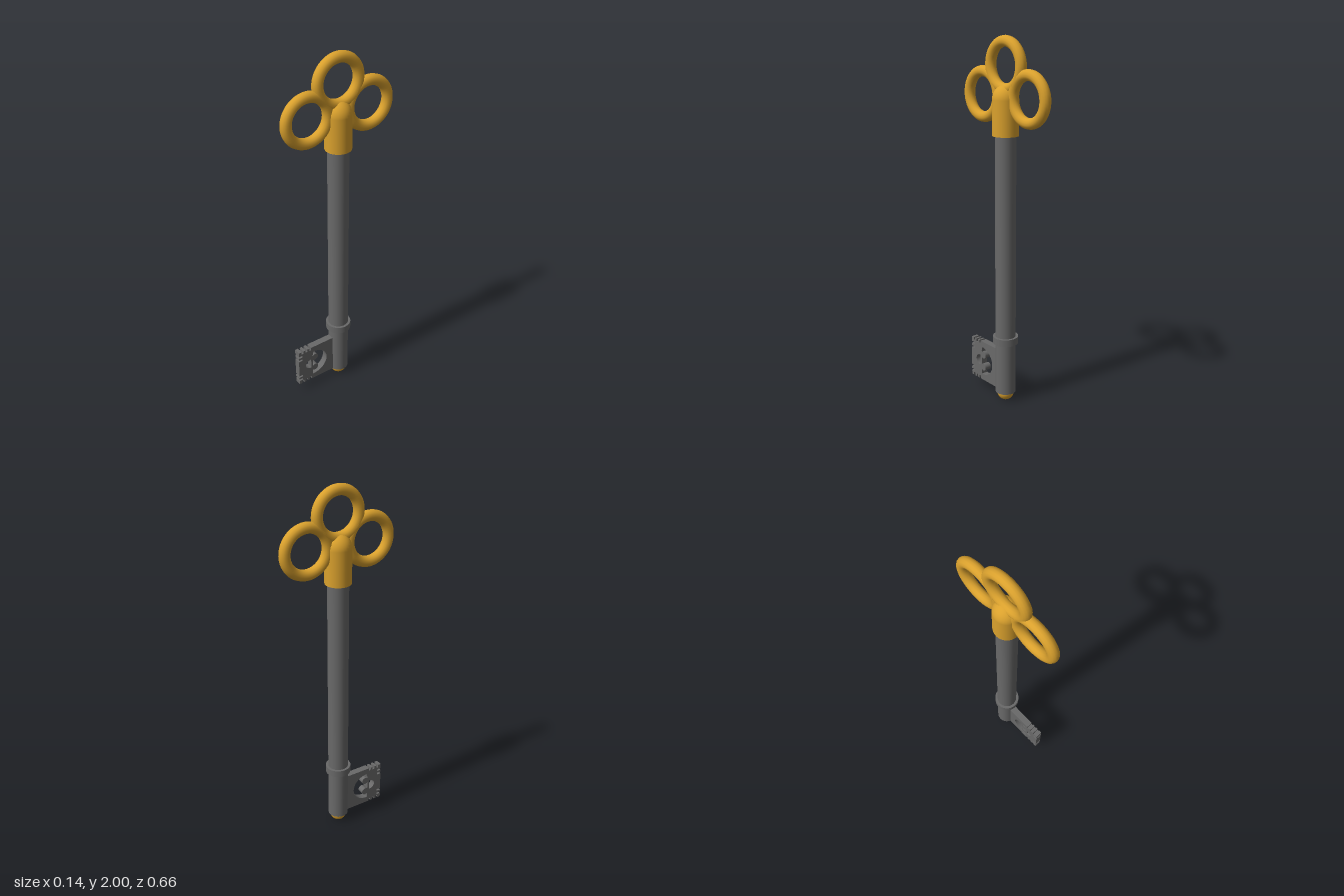
import * as THREE from 'three';

export function createModel() {
  const gold = new THREE.MeshStandardMaterial({ color: 0xdaa12d });
  gold.name = 'gold';
  const steel = new THREE.MeshStandardMaterial({ color: 0x696969 });
  steel.name = 'dark steel';

  const key = new THREE.Group();
  key.name = 'key';
  const add = (name, geometry, material, y = 0, z = 0) => {
    const mesh = new THREE.Mesh(geometry, material);
    mesh.name = name;
    mesh.position.set(0, y, z);
    key.add(mesh);
    return mesh;
  };

  // Handle: three rings in the YZ plane
  const ring = new THREE.TorusGeometry(0.119, 0.029, 14, 48).rotateY(Math.PI / 2);
  add('topRing', ring, gold, 1.852);
  add('frontRing', ring, gold, 1.695, 0.18);
  add('backRing', ring, gold, 1.695, -0.18);

  // Domed socket: straight wall with a separate rounded cap
  add('socketWall', new THREE.CylinderGeometry(0.07, 0.07, 0.185, 32, 1, true), gold, 1.5875);
  add('socketBase', new THREE.CircleGeometry(0.07, 32).rotateX(Math.PI / 2), gold, 1.495);
  const dome = new THREE.SphereGeometry(0.07, 32, 10, 0, Math.PI * 2, 0, Math.PI / 2);
  add('socketDome', dome, gold, 1.68).scale.y = 1.08;

  // Shaft, stop collar and rounded tip
  add('shaft', new THREE.CylinderGeometry(0.056, 0.056, 1.46, 32), steel, 0.78);
  add('stopCollar', new THREE.CylinderGeometry(0.07, 0.07, 0.04, 32), steel, 0.365);
  add('tip', new THREE.SphereGeometry(0.047, 28, 18), gold, 0.047);

  // Bit outline, shape x = model z, with square notches along three edges
  const bottom = 0.053, top = 0.29, outer = 0.285, half = 0.006, depth = 0.024;
  const outline = [[0.03, bottom]];
  const topCuts = [0.208, 0.234, 0.26];
  for (const z of topCuts) {
    outline.push([z - half, bottom], [z - half, bottom + depth * 0.7],
      [z + half, bottom + depth * 0.7], [z + half, bottom]);
  }
  outline.push([outer, bottom]);
  for (const y of [0.083, 0.109, 0.229, 0.255]) {
    outline.push([outer, y - half], [outer - depth, y - half],
      [outer - depth, y + half], [outer, y + half]);
  }
  outline.push([outer, top]);
  for (const z of topCuts.slice().reverse()) {
    outline.push([z + half, top], [z + half, top - depth * 0.7],
      [z - half, top - depth * 0.7], [z - half, top]);
  }
  outline.push([0.03, top]);
  const bit = new THREE.Shape(outline.map(([z, y]) => new THREE.Vector2(z, y)));

  // Half-round window with two rounded bumps, and a smaller window beside it
  const cy = 0.171, flat = 0.192;
  const window1 = new THREE.Path();
  window1.moveTo(flat, cy + 0.084);
  window1.absellipse(flat - 0.006, cy, 0.09, 0.084, Math.PI / 2, Math.PI * 1.5, false);
  window1.lineTo(flat, cy - 0.084);
  window1.lineTo(flat, cy - 0.06);
  window1.absarc(flat - 0.015, cy - 0.038, 0.021, -Math.PI / 4, Math.PI / 4, true);
  window1.lineTo(flat, cy - 0.016);
  window1.lineTo(flat, cy + 0.016);
  window1.absarc(flat - 0.015, cy + 0.038, 0.021, -Math.PI / 4, Math.PI / 4, true);
  window1.lineTo(flat, cy + 0.06);
  const window2 = new THREE.Path();
  window2.absellipse(0.203, cy, 0.038, 0.031, -Math.PI / 2, Math.PI / 2, false);
  bit.holes.push(window1, window2);

  const thickness = 0.038;
  const bitGeometry = new THREE.ExtrudeGeometry(bit, {
    depth: thickness, bevelEnabled: false, curveSegments: 20,
  });
  bitGeometry.translate(0, 0, -thickness / 2).rotateY(-Math.PI / 2);
  add('bit', bitGeometry, steel);

  return key;
}
